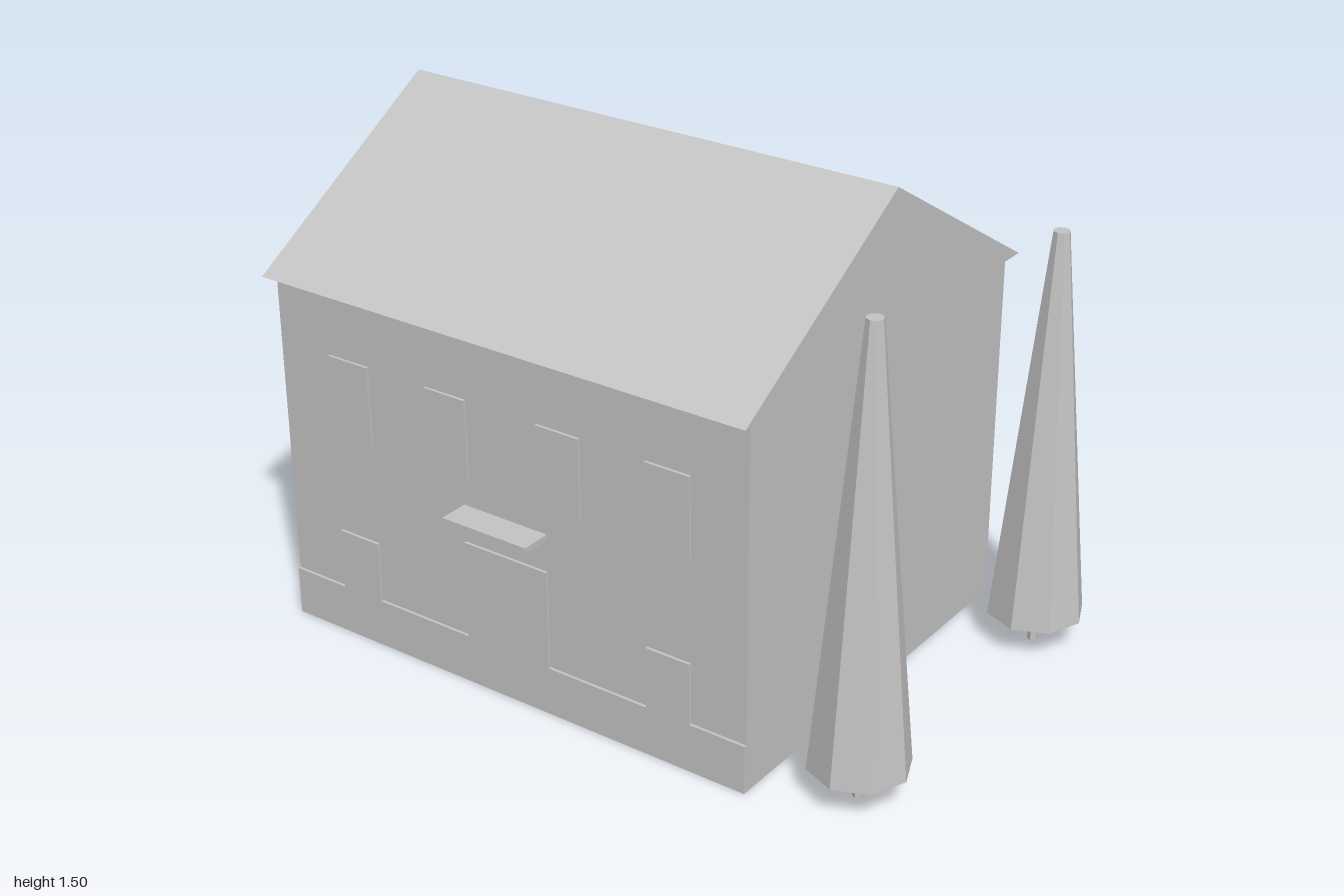
import * as THREE from 'three';

export function createModel() {
  const model = new THREE.Group();
  const grey = new THREE.MeshStandardMaterial({ color: 0xc4c4c4, flatShading: true });
  grey.name = 'light grey';

  function add(name, geometry, x = 0, y = 0, z = 0, parent = model) {
    const mesh = new THREE.Mesh(geometry, grey);
    mesh.name = name;
    mesh.position.set(x, y, z);
    parent.add(mesh);
    return mesh;
  }

  // Box given by its limits on each axis
  function block(name, [x0, x1], [y0, y1], [z0, z1]) {
    const g = new THREE.BoxGeometry(x1 - x0, y1 - y0, z1 - z0);
    add(name, g, (x0 + x1) / 2, (y0 + y1) / 2, (z0 + z1) / 2);
  }

  function extrude(points, depth) {
    const shape = new THREE.Shape(points.map(([x, y]) => new THREE.Vector2(x, y)));
    return new THREE.ExtrudeGeometry(shape, { depth, bevelEnabled: false });
  }

  const left = -0.985, right = 0.61, front = 0.618, relief = 0.009;

  // House body
  block('walls', [left, right], [0, 1.09], [-0.66, front]);

  // Gable roof, extruded along x
  const roof = extrude([[-0.66, 1.09], [0.71, 1.09], [0.025, 1.505]], 1.625);
  roof.rotateY(Math.PI / 2);
  add('roof', roof, -1, 0, 0);

  // Upper windows
  for (const x of [-0.8, -0.45, -0.065, 0.29]) {
    block('upperWindow', [x, x + 0.142], [0.65, 0.89], [front, front + relief]);
  }

  // Plinth joined with the lower windows and the door in one raised plate
  const openings = [[0.29, 0.432, 0.335], [-0.33, -0.042, 0.45], [-0.8, -0.658, 0.335]];
  const outline = [[left, 0], [right, 0], [right, 0.148]];
  for (const [x0, x1, top] of openings) {
    outline.push([x1, 0.148], [x1, top], [x0, top], [x0, 0.148]);
  }
  outline.push([left, 0.148]);
  add('plinthWithDoorAndWindows', extrude(outline, relief), 0, 0, front);

  // Canopy above the door
  block('doorCanopy', [-0.33, -0.042], [0.547, 0.565], [front, 0.71]);

  // Tapered trees on the left side
  for (const [z, top] of [[0.457, 1.378], [-0.503, 1.282]]) {
    const tree = new THREE.Group();
    tree.name = 'tree';
    tree.position.set(0.857, 0, z);
    const height = top - 0.1;
    add('foliage', new THREE.CylinderGeometry(0.024, 0.143, height, 8), 0, 0.1 + height / 2, 0, tree);
    add('trunk', new THREE.CylinderGeometry(0.016, 0.016, 0.1, 6), 0, 0.05, 0, tree);
    model.add(tree);
  }

  return model;
}
